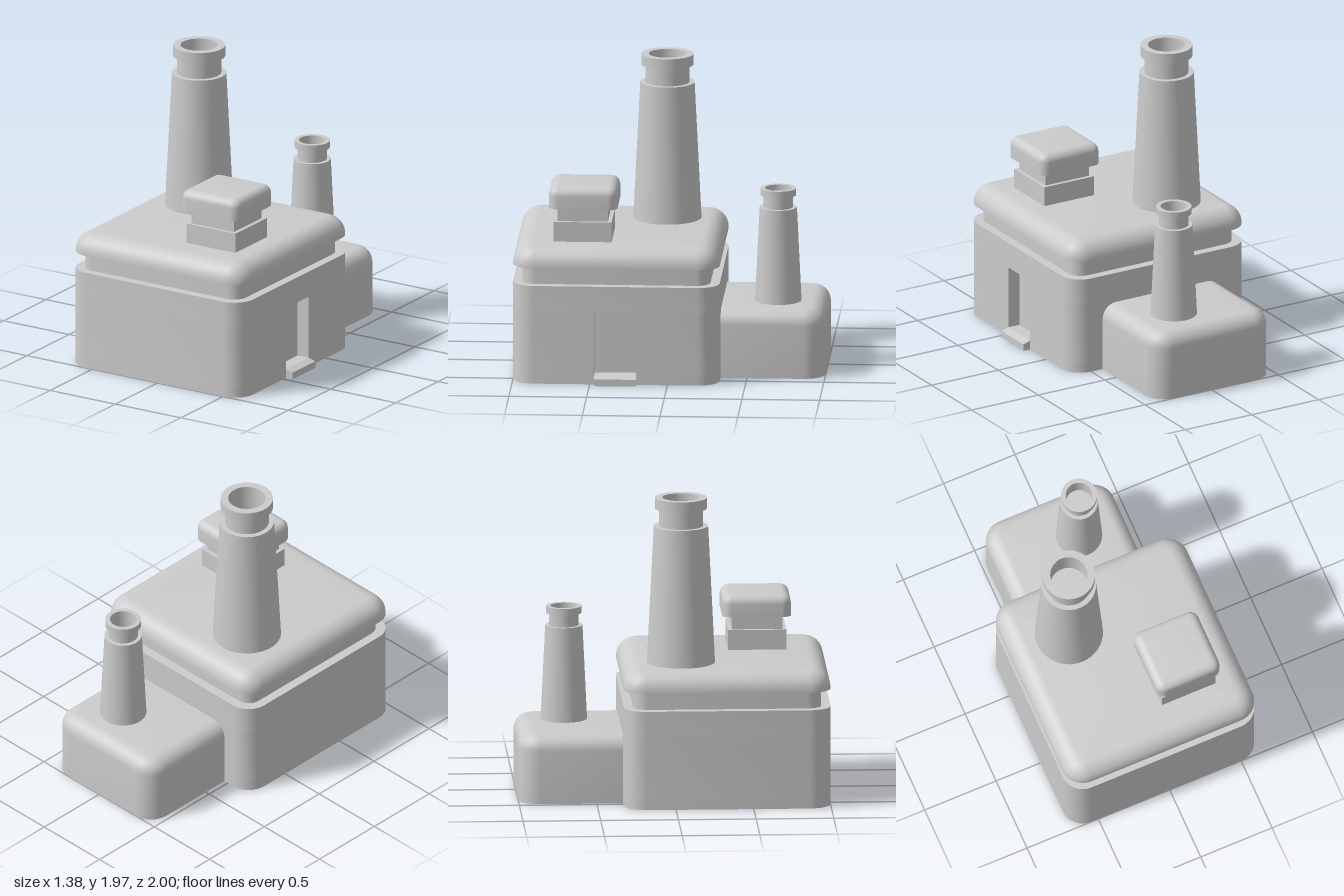
import * as THREE from 'three';
import { toCreasedNormals } from 'three/addons/utils/BufferGeometryUtils.js';

const material = new THREE.MeshStandardMaterial({ color: 0xcccccc });

function add(parent, name, geometry) {
  const mesh = new THREE.Mesh(geometry, material);
  mesh.name = name;
  parent.add(mesh);
  return mesh;
}

// Plan outline of a rounded rectangle as points (x, -z), counterclockwise
function outline([x0, x1, z0, z1], radius, inset = 0, segments = 8) {
  const points = [];
  const r = radius - inset;
  const centres = [[x1 - radius, z0 + radius], [x0 + radius, z0 + radius],
    [x0 + radius, z1 - radius], [x1 - radius, z1 - radius]];
  centres.forEach(([cx, cz], i) => {
    for (let k = 0; k <= segments; k++) {
      const a = (i + k / segments) * Math.PI / 2;
      points.push(new THREE.Vector2(cx + r * Math.cos(a), -cz + r * Math.sin(a)));
    }
  });
  return points;
}

// Upright prism over a plan outline
function prism(points, y0, y1) {
  const g = new THREE.ExtrudeGeometry(new THREE.Shape(points), { depth: y1 - y0, bevelEnabled: false });
  g.rotateX(-Math.PI / 2).translate(0, y0, 0);
  return toCreasedNormals(g, 0.6);
}

// Rounded plan with a flat underside and a rounded top edge
function softBlock(rect, radius, y0, y1, edge, steps = 8) {
  const rings = [[0, y0]];
  for (let k = 0; k <= steps; k++) {
    const a = k / steps * Math.PI / 2;
    rings.push([edge * (1 - Math.cos(a)), y1 - edge + edge * Math.sin(a)]);
  }
  const positions = [], index = [];
  let n = 0;
  for (const [inset, y] of rings) {
    const ring = outline(rect, radius, inset);
    n = ring.length;
    ring.forEach(p => positions.push(p.x, y, -p.y));
  }
  for (let j = 0; j < rings.length - 1; j++) {
    for (let i = 0; i < n; i++) {
      const a = j * n + i, b = j * n + (i + 1) % n;
      index.push(a, b, b + n, a, b + n, a + n);
    }
  }
  // Close the bottom and top with fans
  const cx = (rect[0] + rect[1]) / 2, cz = (rect[2] + rect[3]) / 2;
  const bottom = positions.length / 3, top = bottom + 1, last = (rings.length - 1) * n;
  positions.push(cx, y0, cz, cx, y1, cz);
  for (let i = 0; i < n; i++) {
    const next = (i + 1) % n;
    index.push(bottom, next, i, top, last + i, last + next);
  }
  const g = new THREE.BufferGeometry();
  g.setAttribute('position', new THREE.Float32BufferAttribute(positions, 3));
  g.setIndex(index);
  return toCreasedNormals(g, 0.6);
}

// Hollow-topped tapered chimney with a neck and a collar
function chimney(parent, name, x, z, profile) {
  const g = new THREE.LatheGeometry(profile.map(([r, y]) => new THREE.Vector2(r, y)), 48);
  add(parent, name, toCreasedNormals(g, 0.6)).position.set(x, 0, z);
}

function box(parent, name, [x0, x1, z0, z1], y0, y1) {
  add(parent, name, new THREE.BoxGeometry(x1 - x0, y1 - y0, z1 - z0))
    .position.set((x0 + x1) / 2, (y0 + y1) / 2, (z0 + z1) / 2);
}

export function createModel() {
  const model = new THREE.Group();
  model.name = 'building';

  // Main body, with a doorway cut into its left wall
  const body = new THREE.Group();
  body.name = 'mainBody';
  model.add(body);
  const rect = [-0.69, 0.64, -0.33, 1];
  const plan = outline(rect, 0.14);
  const doorway = [[0.64, -0.47], [0.555, -0.47], [0.555, -0.2], [0.64, -0.2]]
    .map(([x, y]) => new THREE.Vector2(x, y));
  add(body, 'wallBase', prism(plan, 0, 0.06));
  add(body, 'wallWithDoorway', prism([...plan, ...doorway], 0.06, 0.475));
  add(body, 'wallTop', prism(plan, 0.475, 0.645));
  add(body, 'roofNeck', prism(outline([-0.63, 0.58, -0.27, 0.94], 0.09), 0.645, 0.76));
  add(body, 'roof', softBlock(rect, 0.14, 0.76, 0.89, 0.12));

  // Sloping doorstep
  const step = new THREE.Shape([[0.6, 0], [0.69, 0], [0.69, 0.045], [0.64, 0.061], [0.6, 0.061]]
    .map(([x, y]) => new THREE.Vector2(x, y)));
  add(model, 'doorstep', new THREE.ExtrudeGeometry(step, { depth: 0.27, bevelEnabled: false }))
    .position.z = 0.2;

  // Rear annex, running into the main body
  add(model, 'annex', softBlock([-0.47, 0.415, -1, -0.15], 0.14, 0, 0.445, 0.1));

  // Chimneys
  chimney(model, 'tallChimney', -0.295, 0.05, [[0.22, 0.88], [0.175, 1.785], [0.142, 1.785],
    [0.142, 1.9], [0.168, 1.9], [0.168, 1.97], [0.12, 1.97], [0.12, 1.77], [0, 1.77]]);
  chimney(model, 'shortChimney', 0.095, -0.685, [[0.15, 0.435], [0.12, 1.06], [0.095, 1.06],
    [0.095, 1.14], [0.115, 1.14], [0.115, 1.185], [0.085, 1.185], [0.085, 1.05], [0, 1.05]]);

  // Roof vent
  const vent = new THREE.Group();
  vent.name = 'roofVent';
  model.add(vent);
  box(vent, 'ventBase', [0.055, 0.43, 0.37, 0.745], 0.88, 1.02);
  box(vent, 'ventNeck', [0.08, 0.405, 0.395, 0.72], 1.02, 1.11);
  add(vent, 'ventCap', softBlock([0.02, 0.465, 0.333, 0.775], 0.06, 1.11, 1.25, 0.055));

  return model;
}
